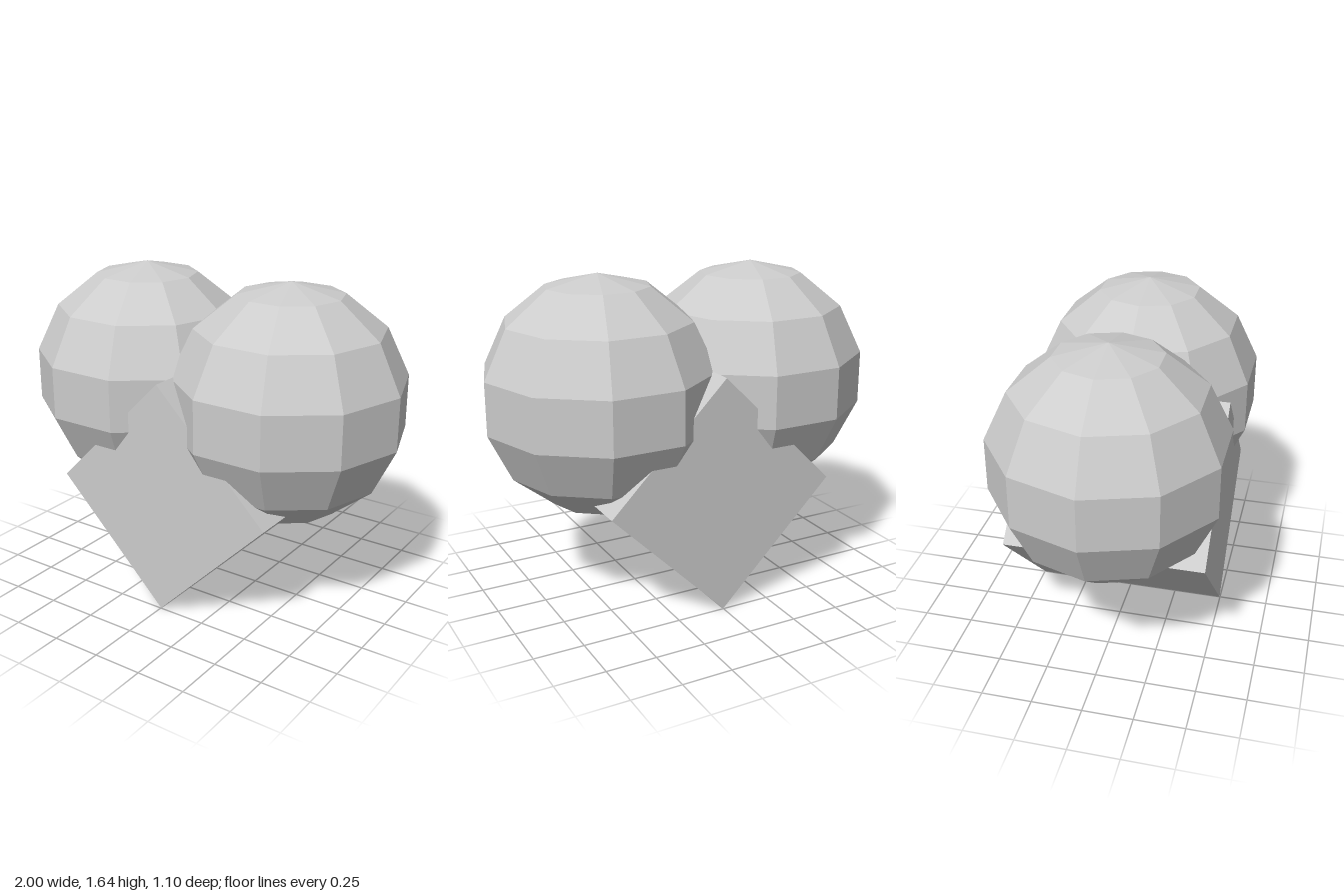
import * as THREE from 'three';

export function createModel() {
  const group = new THREE.Group();
  const grey = new THREE.MeshStandardMaterial({ color: 0xcccccc });
  grey.name = 'light grey';

  // Box standing on its edge forms the pointed lower half of the heart
  const halfDiagonal = 0.595;
  const side = halfDiagonal * Math.SQRT2;
  const point = new THREE.Mesh(new THREE.BoxGeometry(side, side, 0.995), grey);
  point.name = 'heartPoint';
  point.rotation.z = Math.PI / 4;
  point.position.y = halfDiagonal;
  group.add(point);

  // Two faceted balls form the lobes
  const ball = new THREE.SphereGeometry(0.592, 10, 7).toNonIndexed();
  ball.computeVertexNormals(); // flat facets
  for (const s of [-1, 1]) {
    const lobe = new THREE.Mesh(ball, grey);
    lobe.name = s > 0 ? 'leftLobe' : 'rightLobe';
    lobe.position.set(s * 0.423, 1.045, 0);
    group.add(lobe);
  }
  return group;
}
